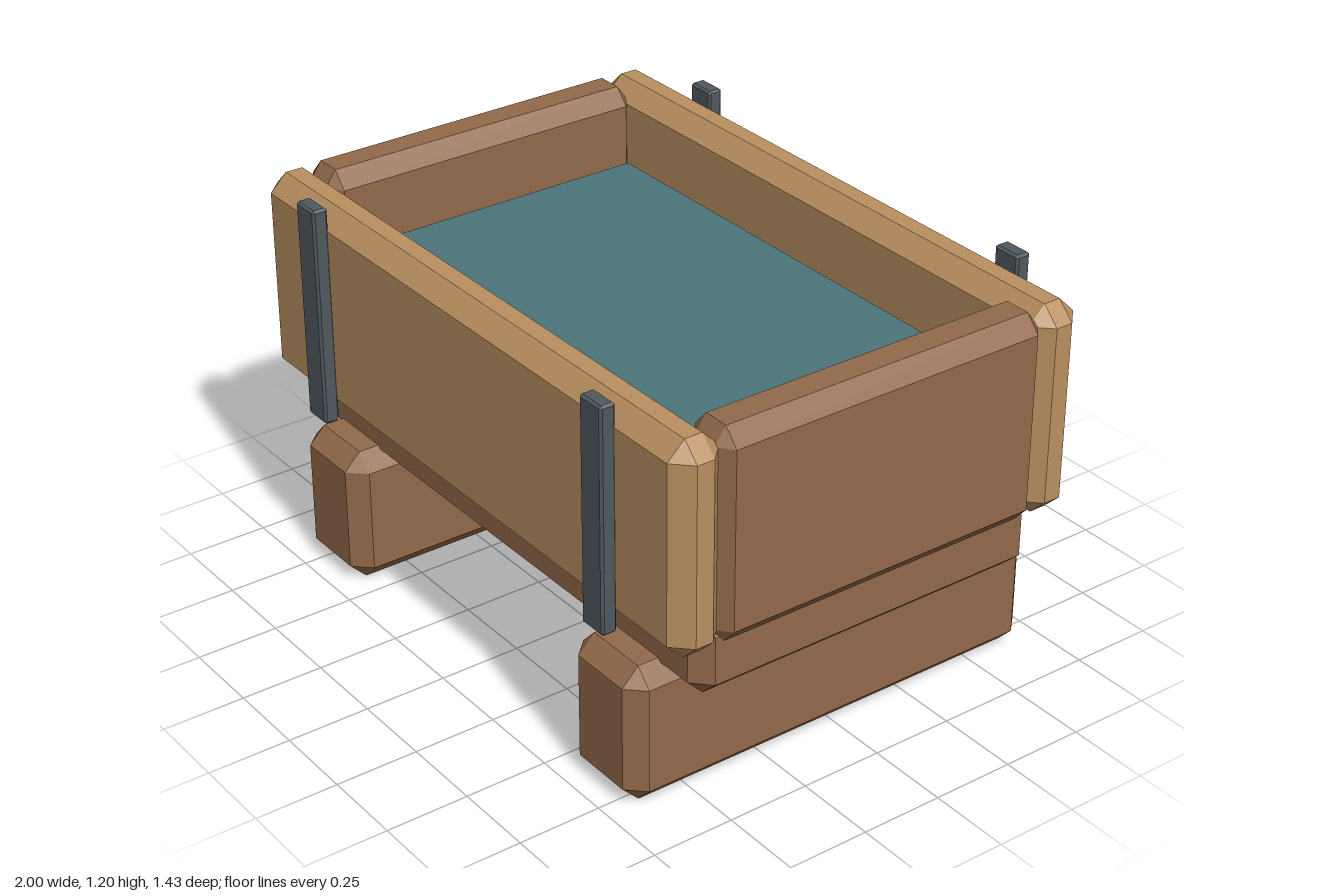
import * as THREE from 'three';
import { ConvexGeometry } from 'three/addons/geometries/ConvexGeometry.js';

const material = (color) => new THREE.MeshStandardMaterial({ color, flatShading: true });

// Box with flat chamfers on all edges; size and chamfer are [x, y, z].
function chamferBox(size, chamfer) {
  const points = [];
  for (const sx of [-1, 1]) for (const sy of [-1, 1]) for (const sz of [-1, 1]) {
    const sign = [sx, sy, sz];
    for (let full = 0; full < 3; full++) {
      const p = sign.map((s, i) => s * (size[i] / 2 - (i === full ? 0 : chamfer[i])));
      points.push(new THREE.Vector3(...p));
    }
  }
  return new ConvexGeometry(points);
}

export function createModel() {
  const model = new THREE.Group();
  const lightWood = material(0xb98f60);
  const darkWood = material(0x92694a);
  const iron = material(0x4f595f);
  const teal = material(0x4a7478);

  function add(name, geometry, mat, x, y, z) {
    const mesh = new THREE.Mesh(geometry, mat);
    mesh.name = name;
    mesh.position.set(x, y, z);
    model.add(mesh);
  }

  // Floor of the trough and the water surface inside it
  add('base', chamferBox([1.915, 0.245, 1.15], [0.053, 0.05, 0.05]), darkWood, 0, 0.4875, 0);
  add('water', new THREE.BoxGeometry(1.61, 0.03, 0.974), teal, 0, 0.935, 0);

  const longPlank = chamferBox([2, 0.64, 0.16], [0.053, 0.052, 0.053]);
  const endPlank = chamferBox([0.17, 0.635, 1.07], [0.045, 0.05, 0.036]);
  const foot = chamferBox([0.295, 0.425, 1.384], [0.05, 0.052, 0.052]);
  const strap = chamferBox([0.093, 0.68, 0.048], [0.007, 0.007, 0.007]);

  for (const s of [-1, 1]) {
    const side = s > 0 ? 'left' : 'right';
    const face = s > 0 ? 'front' : 'back';
    // Walls
    add(face + 'Plank', longPlank, lightWood, 0, 0.855, s * 0.593);
    add(side + 'EndPlank', endPlank, darkWood, s * 0.915, 0.8575, 0);
    // Bearer beam running front to back
    add(side + 'Foot', foot, darkWood, s * 0.682, 0.2125, 0);
    // Upright iron straps on the long walls
    for (const t of [-1, 1]) {
      add(face + (t > 0 ? 'Left' : 'Right') + 'Strap', strap, iron, t * 0.683, 0.855, s * 0.692);
    }
  }
  return model;
}
